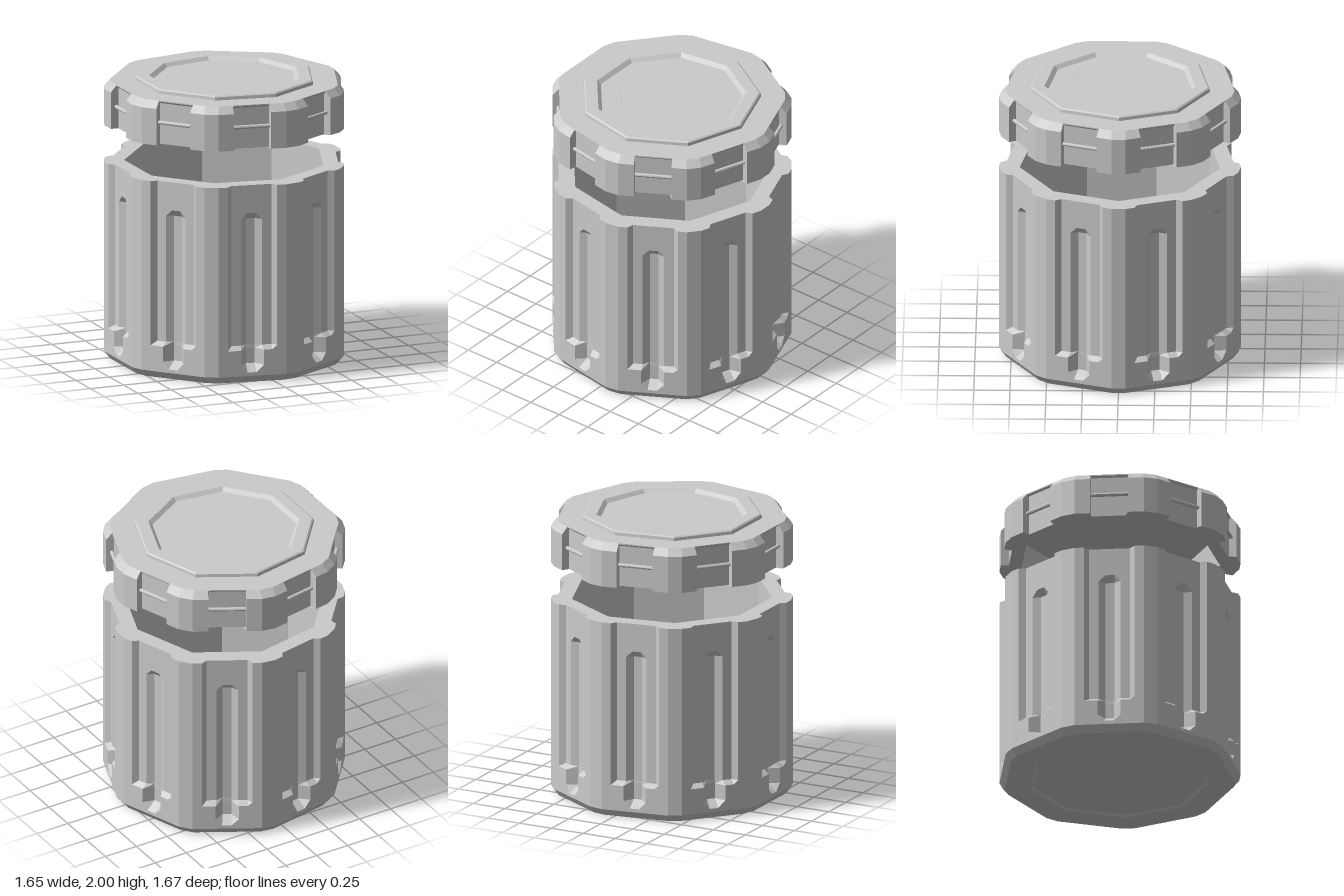
import * as THREE from 'three';

const SIDES = 9;
const TAN = Math.tan(Math.PI / SIDES);
const A = 0.806;      // distance from axis to each flat side
const CORNER = 0.241; // half width of a flat before the blunted corner

const material = new THREE.MeshStandardMaterial({
  color: 0xcccccc, flatShading: true, side: THREE.DoubleSide,
});

const sideAngle = (k) => ((k + 0.5) * 2 * Math.PI) / SIDES;

// Point on side k: t along the side, r out from the axis
function sidePoint(k, t, r, y) {
  const c = Math.cos(sideAngle(k)), s = Math.sin(sideAngle(k));
  return [c * r - s * t, y, s * r + c * t];
}

// Nine-sided ring; half lists [t, depth] from the corner to the middle of a side
function ring(y, half) {
  const side = [
    ...half.map(([t, d]) => [-t, d]),
    ...[...half].reverse(),
  ];
  const points = [];
  for (let k = 0; k < SIDES; k++) {
    for (const [t, d] of side) points.push(sidePoint(k, t, A - d, y));
  }
  return points;
}

// Ring with sharp corners and straight sides, using n points per half side
function plain(y, apothem, n) {
  const half = [];
  for (let i = 0; i < n; i++) half.push([(apothem * TAN * (n - i)) / n, A - apothem]);
  return ring(y, half);
}

// Skin between successive rings
function loft(name, rings) {
  const n = rings[0].length;
  const index = [];
  for (let i = 0; i < rings.length - 1; i++) {
    for (let j = 0; j < n; j++) {
      const a = i * n + j, b = i * n + ((j + 1) % n);
      index.push(a, a + n, b, b, a + n, b + n);
    }
  }
  const geometry = new THREE.BufferGeometry();
  geometry.setAttribute('position', new THREE.Float32BufferAttribute(rings.flat(2), 3));
  geometry.setIndex(index);
  geometry.computeVertexNormals();
  const mesh = new THREE.Mesh(geometry, material);
  mesh.name = name;
  return mesh;
}

// Jar wall section: shallow recess with a bevelled groove inside it
function wall(y, { inset = 0, recess = 0, groove = 0, edge = 0.075, floor = 0.03 } = {}) {
  const scale = (A - inset) / A;
  const base = inset + recess;
  return ring(y, [
    [CORNER * scale, inset], [0.175, inset], [0.142, base],
    [edge, base], [floor, base + groove],
  ]);
}

function createJar() {
  const n = 5, recess = 0.037;
  return loft('jar', [
    // underside with a shallow foot recess
    plain(0.018, 0, n), plain(0.018, 0.575, n), plain(0, 0.592, n),
    // bevelled foot
    wall(0, { inset: 0.037 }), wall(0.05),
    // lower end of the groove
    wall(0.075, { edge: 0.036 }), wall(0.125, { edge: 0.08, groove: 0.07 }),
    // recess begins, groove continues upward
    wall(0.232, { edge: 0.08, groove: 0.07 }),
    wall(0.26, { recess, groove: 0.035 }),
    wall(1.155, { recess, groove: 0.035 }),
    wall(1.2, { recess, edge: 0.035 }),
    // rim and interior
    wall(1.4, { recess }),
    plain(1.4, 0.66, n), plain(0.08, 0.66, n), plain(0.08, 0, n),
  ]);
}

// Lid wall section with a notch in every side
function lidWall(y, inset, notch) {
  return ring(y, [
    [(CORNER * (A - inset)) / A, inset], [0.131, inset], [0.13, notch],
  ]);
}

function createLid() {
  const n = 3;
  return loft('lid', [
    // hollow underside
    plain(1.9, 0, n), plain(1.9, 0.66, n), plain(1.66, 0.66, n),
    // notched outer wall and bevelled shoulder
    lidWall(1.66, 0, 0.055), lidWall(1.92, 0, 0.055),
    lidWall(1.95, 0.026, 0.055), lidWall(1.962, 0.036, 0.043),
    lidWall(1.97, 0.043, 0.043),
    // raised rim around a sunken centre panel
    plain(1.97, 0.593, n), plain(1.992, 0.59, n), plain(2, 0.58, n),
    plain(2, 0.498, n), plain(1.975, 0.472, n),
    plain(1.975, 0.338, n), plain(1.974, 0.335, n), plain(1.974, 0, n),
  ]);
}

// Thin bars crossing the lid notches
function createBars() {
  const bars = new THREE.Group();
  bars.name = 'notchBars';
  const geometry = new THREE.CylinderGeometry(0.014, 0.014, 0.264, 8);
  geometry.rotateX(Math.PI / 2);
  for (let k = 0; k < SIDES; k++) {
    const bar = new THREE.Mesh(geometry, material);
    bar.name = 'notchBar';
    bar.position.set(...sidePoint(k, 0, A - 0.04, 1.815));
    bar.rotation.y = -sideAngle(k);
    bars.add(bar);
  }
  return bars;
}

export function createModel() {
  const model = new THREE.Group();
  model.name = 'canister';
  model.add(createJar(), createLid(), createBars());
  // an odd number of sides puts the axis slightly off the middle
  for (const part of model.children) part.position.x = -0.017;
  return model;
}
